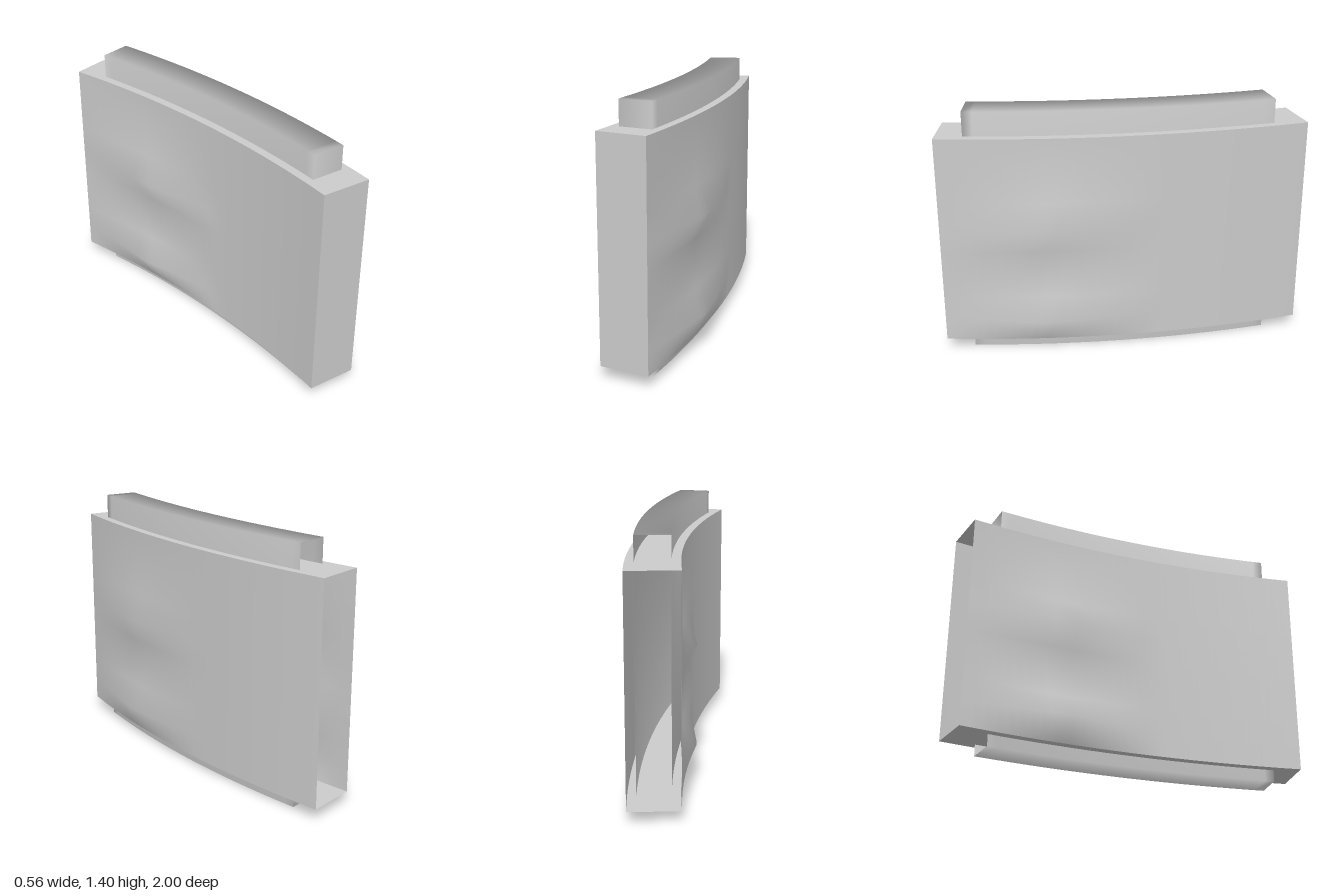
import * as THREE from 'three';

const R = 5.76, CX = -5.617, CZ = -0.857; // arc the whole panel follows
const A0 = -0.025, A1 = 0.32;
const Y0 = 0.065, Y1 = 1.265, HALF = 0.137;

const onArc = (a, off, y) => [
  CX + (R + off) * Math.cos(a), y, CZ + (R + off) * Math.sin(a),
];

const material = new THREE.MeshStandardMaterial({ color: 0xcccccc, side: THREE.DoubleSide });

function makeMesh(name, positions, index) {
  const g = new THREE.BufferGeometry();
  g.setAttribute('position', new THREE.Float32BufferAttribute(positions, 3));
  g.setIndex(index);
  g.computeVertexNormals();
  const mesh = new THREE.Mesh(g, material);
  mesh.name = name;
  return mesh;
}

// Surface through rows of points; flip reverses the facing side.
function sheet(name, us, vs, point, flip = false) {
  const pos = [], idx = [], n = vs.length;
  us.forEach((u) => vs.forEach((v) => pos.push(...point(u, v))));
  for (let i = 0; i < us.length - 1; i++) {
    for (let j = 0; j < n - 1; j++) {
      const a = i * n + j, b = a + 1, c = a + n, d = c + 1;
      if (flip) idx.push(a, c, b, b, c, d);
      else idx.push(a, b, c, b, d, c);
    }
  }
  return makeMesh(name, pos, idx);
}

const steps = (a, b, n) => Array.from({ length: n + 1 }, (_, i) => a + ((b - a) * i) / n);

// Rises from 0 at a to 1 at peak, back to 0 at b
const tent = (t, a, peak, b) =>
  t <= a || t >= b ? 0 : t < peak ? (t - a) / (peak - a) : (b - t) / (b - peak);

const ROWS = [Y0, 0.2, 0.33, 0.61, 0.75, 0.89, Y1];
const bands = (y) => Math.max(tent(y, Y0, 0.2, 0.33), tent(y, 0.61, 0.75, 0.89));

export function createModel() {
  const model = new THREE.Group();
  model.name = 'curvedPanel';
  const arc = steps(A0, A1, 32);

  // Outer casing: two long walls, each with two shallow raised bands
  const casing = new THREE.Group();
  casing.name = 'casing';
  casing.add(
    sheet('convexWall', arc, ROWS, (a, y) =>
      onArc(a, HALF + 0.062 * tent(a, 0.115, 0.2217, A1) * bands(y), y), true),
    sheet('concaveWall', arc, ROWS, (a, y) =>
      onArc(a, -HALF - 0.077 * tent(a, A0, 0.075, 0.17) * bands(y), y)),
    // The front end is closed, the back end stays open
    sheet('casingTop', arc, [-HALF, HALF], (a, o) => onArc(a, o, Y1), true),
    sheet('casingBottom', arc, [-HALF, HALF], (a, o) => onArc(a, o, Y0)),
    sheet('casingFront', [-HALF, HALF], [Y0, Y1], (o, y) => onArc(A1, o, y), true),
  );
  model.add(casing);

  // Inner core: softly shaded four-sided tube, open at the back
  const pos = [], idx = [], n = 30, w = 0.09, h = 1.4;
  const corners = [[-w, 0], [w, 0], [w, h], [-w, h]];
  for (const a of steps(0.0055, 0.2945, n)) {
    corners.forEach(([o, y]) => pos.push(...onArc(a, o, y)));
  }
  for (let i = 0; i < n; i++) {
    for (let j = 0; j < 4; j++) {
      const a = i * 4 + j, b = i * 4 + ((j + 1) % 4);
      idx.push(a, b, a + 4, b, b + 4, a + 4);
    }
  }
  const e = n * 4;
  idx.push(e, e + 1, e + 2, e, e + 2, e + 3);
  model.add(makeMesh('core', pos, idx));

  return model;
}
